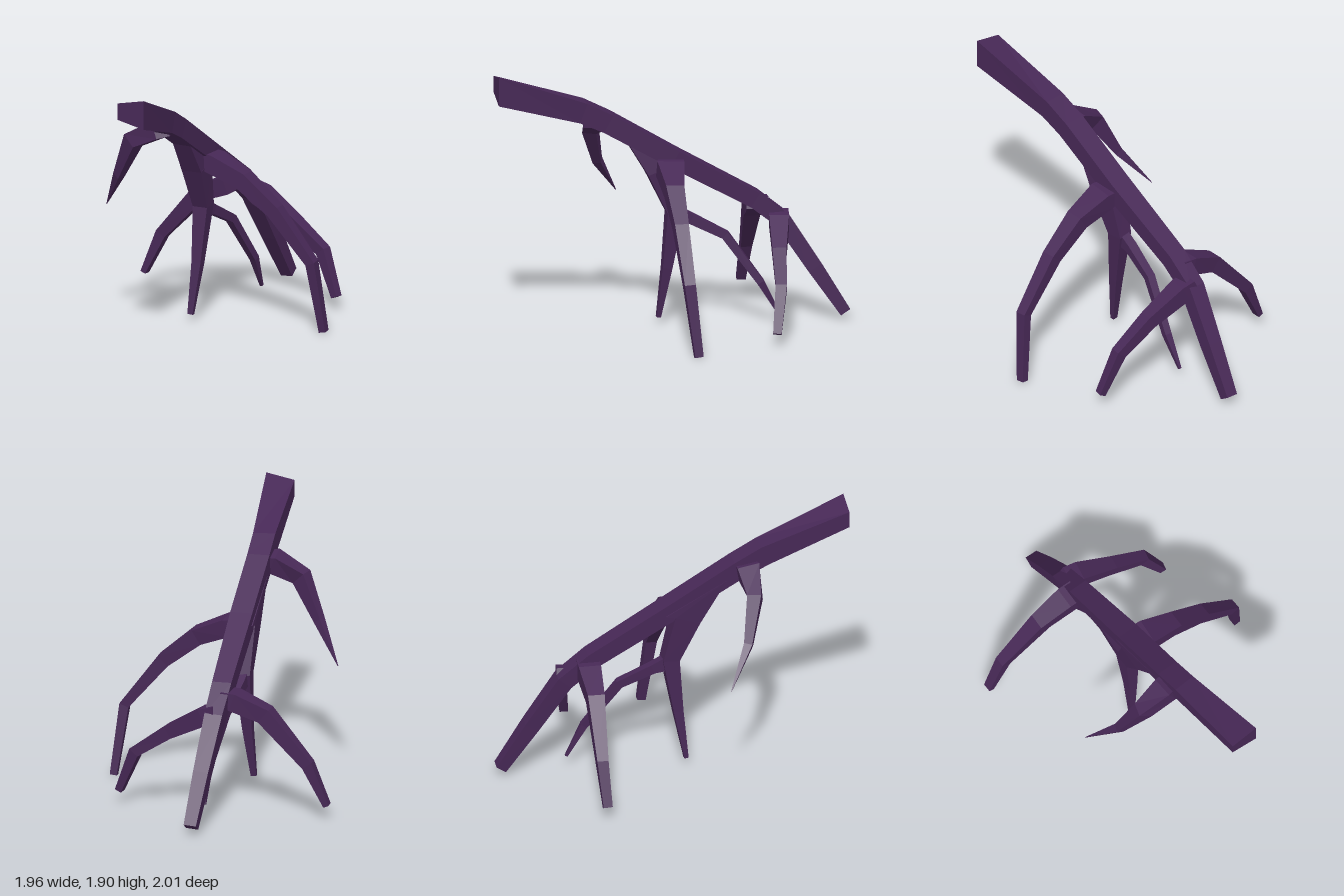
import * as THREE from 'three';

const bark = new THREE.MeshStandardMaterial({ color: 0x472856, flatShading: true, side: THREE.DoubleSide });

// Four-sided limb through rings [x, y, z, width, height]; width runs level, across the limb's heading.
// firstRing may replace the corners of the first ring (low/high on one side, then high/low on the other).
function limb(name, rings, { firstRing, heading } = {}) {
  const centres = rings.map(r => new THREE.Vector3(r[0], r[1], r[2]));
  const last = centres.length - 1;
  const ahead = heading ?? centres[last].clone().sub(centres[0]).setY(0).normalize();
  const side = new THREE.Vector3(-ahead.z, 0, ahead.x);
  const corners = rings.map((r, i) => {
    if (i === 0 && firstRing) return firstRing.map(c => new THREE.Vector3(...c));
    const a = centres[Math.max(i - 1, 0)], b = centres[Math.min(i + 1, last)];
    const along = b.clone().sub(a).normalize();
    const up = side.clone().cross(along).normalize();
    const across = along.clone().cross(up);
    return [[-1, -1], [-1, 1], [1, 1], [1, -1]].map(([s, u]) => centres[i].clone()
      .addScaledVector(across, s * r[3] / 2).addScaledVector(up, u * r[4] / 2));
  });

  const pos = [];
  const quad = (a, b, c, d) => [a, b, c, a, c, d].forEach(p => pos.push(p.x, p.y, p.z));
  for (let i = 0; i < last; i++) {
    for (let k = 0; k < 4; k++) {
      const n = (k + 1) % 4;
      quad(corners[i][k], corners[i][n], corners[i + 1][n], corners[i + 1][k]);
    }
  }
  quad(...corners[0].slice().reverse());
  quad(...corners[last]);
  const geo = new THREE.BufferGeometry();
  geo.setAttribute('position', new THREE.Float32BufferAttribute(pos, 3));
  geo.computeVertexNormals();
  const mesh = new THREE.Mesh(geo, bark);
  mesh.name = name;
  return mesh;
}

export function createModel() {
  const root = new THREE.Group();
  root.name = 'gnarledRoot';

  root.add(
    // main stem, sloping down and ending in the far prop
    limb('stem', [
      [-0.91, 1.81, 0.92, 0.2, 0.17],
      [-0.49, 1.60, 0.47, 0.16, 0.15],
      [-0.36, 1.51, 0.34, 0.16, 0.14],
      [-0.01, 1.23, 0.02, 0.16, 0.13],
      [0.41, 0.90, -0.38, 0.14, 0.12],
      [0.56, 0.74, -0.51, 0.13, 0.12],
      [0.75, 0.39, -0.64, 0.11, 0.11],
      [0.925, 0.06, -0.765, 0.09, 0.08],
    ], { firstRing: [[-0.98, 1.75, 0.85], [-0.98, 1.87, 0.85], [-0.84, 1.91, 1.0], [-0.84, 1.70, 1.0]] }),

    // hooked twig near the upper end
    limb('hookedTwig', [
      [-0.39, 1.51, 0.37, 0.14, 0.08],
      [-0.47, 1.50, 0.32, 0.16, 0.13],
      [-0.605, 1.40, 0.175, 0.1, 0.12],
      [-0.65, 1.11, 0.01, 0.06, 0.06],
      [-0.65, 0.84, -0.23, 0.004, 0.004],
    ]),

    // long arched prop towards the front
    limb('frontProp', [
      [-0.03, 1.20, 0.02, 0.17, 0.08],
      [0.03, 1.17, 0.12, 0.19, 0.13],
      [0.18, 1.07, 0.30, 0.13, 0.12],
      [0.35, 0.87, 0.48, 0.10, 0.10],
      [0.55, 0.52, 0.68, 0.08, 0.07],
      [0.635, 0.015, 0.69, 0.06, 0.05],
    ]),

    // middle prop flaring into the underside of the stem
    limb('middleProp', [
      [-0.13, 1.32, 0.13, 0.14, 0.3],
      [-0.09, 1.15, 0.08, 0.15, 0.19],
      [-0.01, 0.83, 0.00, 0.11, 0.12],
      [-0.06, 0.42, 0.025, 0.07, 0.07],
      [-0.12, 0.05, 0.04, 0.04, 0.03],
    ], {
      heading: new THREE.Vector3(1, 0, -1).normalize(),
      firstRing: [[-0.35, 1.44, 0.22], [-0.03, 1.20, -0.08], [0.06, 1.20, 0.02], [-0.26, 1.44, 0.31]],
    }),

    // thin twig branching off the middle prop
    limb('thinTwig', [
      [-0.01, 0.81, -0.01, 0.07, 0.11],
      [0.08, 0.77, -0.08, 0.07, 0.07],
      [0.28, 0.65, -0.21, 0.06, 0.06],
      [0.50, 0.31, -0.33, 0.05, 0.05],
      [0.59, 0.08, -0.42, 0.02, 0.02],
    ]),

    // lower pair of props, one on each side of the stem
    limb('backProp', [
      [0.43, 0.86, -0.40, 0.16, 0.08],
      [0.37, 0.83, -0.47, 0.16, 0.13],
      [0.22, 0.74, -0.64, 0.12, 0.12],
      [0.02, 0.40, -0.885, 0.08, 0.08],
      [-0.08, 0.105, -0.975, 0.065, 0.04],
    ]),
    limb('sideProp', [
      [0.54, 0.78, -0.50, 0.14, 0.09],
      [0.59, 0.74, -0.43, 0.14, 0.13],
      [0.74, 0.59, -0.20, 0.10, 0.10],
      [0.89, 0.41, 0.01, 0.08, 0.08],
      [0.94, 0.10, 0.14, 0.06, 0.05],
    ]),
  );
  return root;
}
